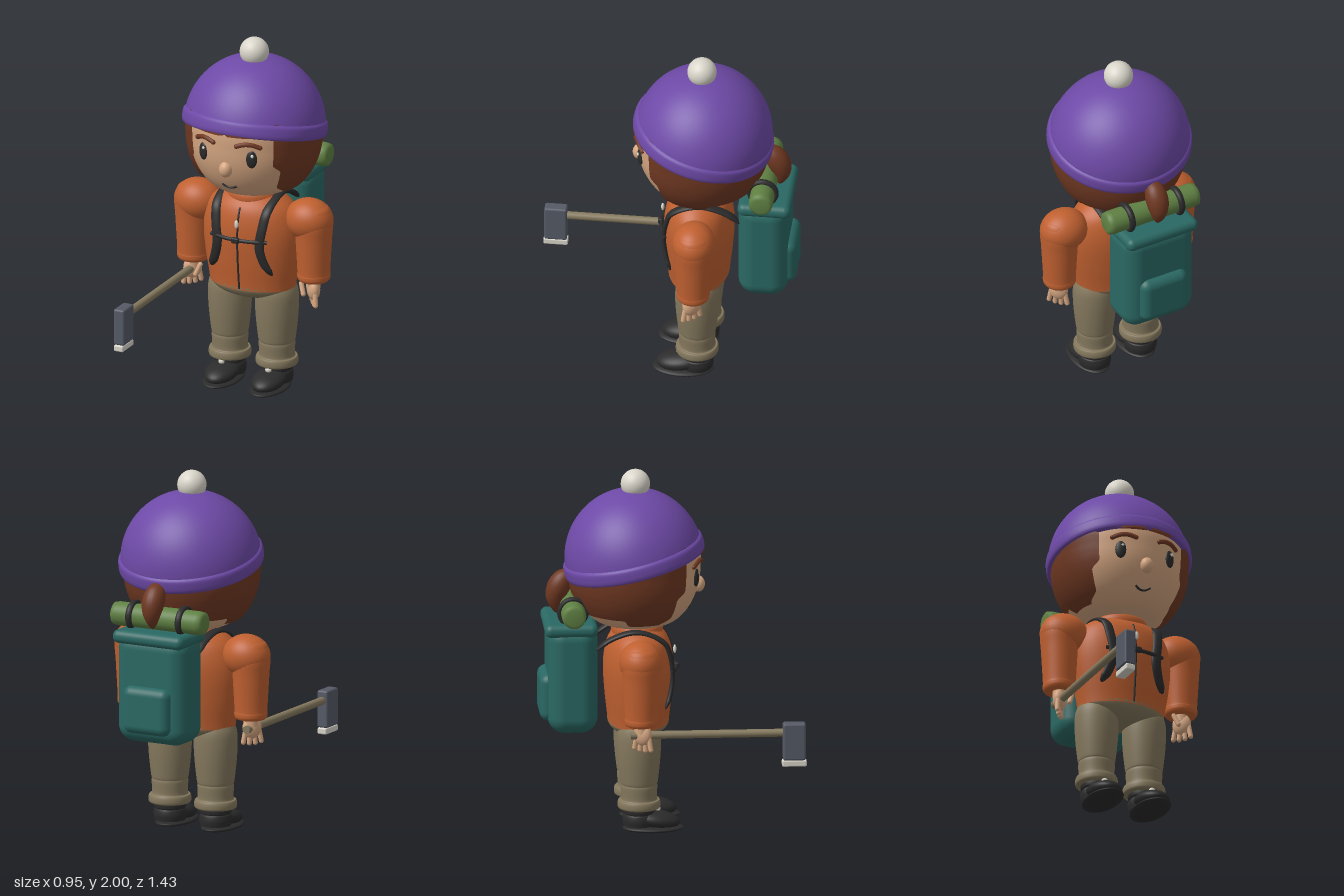
import * as THREE from 'three';
import { RoundedBoxGeometry } from 'three/addons/geometries/RoundedBoxGeometry.js';
import { ParametricGeometry } from 'three/addons/geometries/ParametricGeometry.js';

const mat = (name, color, side = THREE.FrontSide) => {
  const m = new THREE.MeshStandardMaterial({ color, side });
  m.name = name;
  return m;
};
const V = (x, y, z) => new THREE.Vector3(x, y, z);

// smooth lathe profile from [radius, height] pairs
const profile = (pairs, n = 48) =>
  new THREE.SplineCurve(pairs.map(([r, y]) => new THREE.Vector2(r, y))).getPoints(n)
    .map((p) => p.set(Math.max(p.x, 0), p.y));
const lathe = (pts, seg = 48) => new THREE.LatheGeometry(pts, seg);

// radius of a profile at a given height
const radiusAt = (pts, y) => {
  for (let i = 1; i < pts.length; i++) {
    const a = pts[i - 1], b = pts[i];
    if (y <= b.y) return a.x + (b.x - a.x) * THREE.MathUtils.clamp((y - a.y) / (b.y - a.y || 1), 0, 1);
  }
  return pts[pts.length - 1].x;
};

// sweep an ellipse (wide along x) along a smooth path, radii given along the path
function sweep(points, wide, thick, slices = 16, stacks = 40) {
  const curve = new THREE.CatmullRomCurve3(points);
  return new ParametricGeometry((u, v, out) => {
    const a = u * Math.PI * 2, t = curve.getTangent(v), x = V(1, 0, 0);
    const b = t.clone().cross(x).normalize();
    out.copy(curve.getPoint(v))
      .addScaledVector(x, Math.cos(a) * wide(v))
      .addScaledVector(b, Math.sin(a) * thick(v));
  }, slices, stacks);
}
const roundEnds = (r) => (v) => r * Math.min(1, 0.1 + Math.sqrt(Math.sin(Math.PI * Math.min(1, Math.max(0, v))) * 3));

const HEAD_Z = -0.19, BODY_Z = -0.175, DEPTH = 0.67;
const headPts = profile([[0, 1.127], [0.1, 1.13], [0.2, 1.155], [0.262, 1.2], [0.31, 1.27], [0.343, 1.36],
  [0.355, 1.46], [0.35, 1.58], [0.28, 1.72], [0, 1.83]], 64);
const torsoPts = profile([[0.248, 0.59], [0.255, 0.64], [0.273, 0.75], [0.285, 0.88], [0.275, 0.98],
  [0.24, 1.06], [0.17, 1.115], [0.1, 1.135]]);
const faceZ = (x, y) => HEAD_Z + Math.sqrt(Math.max(0, radiusAt(headPts, y) ** 2 - x * x));
const chestZ = (x, y) => BODY_Z + DEPTH * Math.sqrt(Math.max(0, radiusAt(torsoPts, y) ** 2 - x * x));

export function createModel() {
  const purple = mat('hat purple', 0x6d49a6), cream = mat('cream', 0xd9d5ca);
  const orange = mat('jacket orange', 0xbf6030), brown = mat('hair brown', 0x6f3822, THREE.DoubleSide);
  const skin = mat('skin', 0xd5a681), khaki = mat('khaki', 0x85795e), teal = mat('pack teal', 0x2a6863);
  const green = mat('bedroll green', 0x5f8043), dark = mat('dark', 0x2b2b2c), slate = mat('slate', 0x555a66);

  const model = new THREE.Group();
  model.name = 'hiker';
  const part = (name, parent = model) => {
    const g = new THREE.Group();
    g.name = name;
    parent.add(g);
    return g;
  };
  const add = (parent, name, geo, material, pos = [0, 0, 0], rot = [0, 0, 0], scale = [1, 1, 1]) => {
    const m = new THREE.Mesh(geo, material);
    m.name = name;
    m.position.set(...pos);
    m.rotation.set(...rot);
    m.scale.set(...scale);
    parent.add(m);
    return m;
  };
  const ball = new THREE.SphereGeometry(1, 32, 20);

  // head and face
  const head = part('head');
  add(head, 'skull', lathe(headPts), skin, [0, 0, HEAD_Z]);
  add(head, 'nose', ball, skin, [0, 1.35, 0.152], [0, 0, 0], [0.037, 0.045, 0.037]);
  const smile = [-0.045, -0.022, 0, 0.022, 0.045].map((x) => {
    const y = 1.225 + x * x * 9;
    return V(x, y, faceZ(x, y) + 0.002);
  });
  add(head, 'mouth', new THREE.TubeGeometry(new THREE.CatmullRomCurve3(smile), 16, 0.006, 8), dark);
  for (const s of [-1, 1]) {
    const ex = 0.147 * s, ez = faceZ(0.147, 1.425);
    add(head, 'eye', ball, dark, [ex, 1.425, ez], [0, 0.42 * s, 0], [0.03, 0.05, 0.014]);
    add(head, 'eyeGlint', ball, cream, [ex + 0.008, 1.448, ez + 0.011], [0, 0, 0], [0.01, 0.01, 0.006]);
    const brow = [[0.07, 1.5], [0.11, 1.512], [0.15, 1.511], [0.19, 1.495]]
      .map(([x, y]) => V(x * s, y, faceZ(x, y) + 0.003));
    add(head, 'eyebrow', new THREE.TubeGeometry(new THREE.CatmullRomCurve3(brow), 16, 0.013, 8), brown);
    for (const e of [brow[0], brow[3]]) add(head, 'browEnd', ball, brown, e.toArray(), [0, 0, 0], [0.013, 0.013, 0.013]);
  }

  // hair shell with side locks, open at the face and nape
  const step = THREE.MathUtils.smoothstep;
  const hair = new ParametricGeometry((u, v, out) => {
    const fold = 0.78 + (Math.PI - 0.78) * (1 - Math.abs(2 * u - 1));
    const low = 1.175 + 0.04 * step(fold, 1.5, 1.8);
    const y = low + (1.62 - low) * v;
    const edge = y > 1.545 ? 0 : 0.76 + 0.14 * (1 - step(y, 1.33, 1.38)) + 0.25 * (1 - step(y, 1.17, 1.23));
    const a = edge + (Math.PI * 2 - 2 * edge) * u;
    const r = radiusAt(headPts, y) + (v < 0.01 || u < 0.005 || u > 0.995 ? -0.004 : 0.02);
    out.set(Math.sin(a) * r, y, Math.cos(a) * r);
  }, 96, 40);
  add(head, 'hair', hair, brown, [0, 0, HEAD_Z]);
  const tail = [V(0, 1.43, -0.53), V(0, 1.38, -0.59), V(0, 1.3, -0.625), V(0, 1.2, -0.615)];
  const tailR = (v) => 0.004 + 0.058 * Math.pow(Math.sin(Math.PI * (0.08 + 0.92 * v)), 0.7);
  add(head, 'ponytail', sweep(tail, tailR, tailR, 24), brown);
  add(head, 'hairTie', new THREE.TorusGeometry(0.034, 0.015, 10, 24), purple, [0, 1.42, -0.55], [0.75, 0, 0]);

  // knitted hat, tipped back
  const hat = part('hat');
  hat.position.set(0, 1.475, HEAD_Z);
  hat.rotation.x = -0.23;
  hat.scale.z = 0.975;
  const dome = Array.from({ length: 25 }, (_, i) => {
    const a = (i / 24) * Math.PI / 2;
    return new THREE.Vector2(0.388 * Math.cos(a), 0.03 + 0.385 * Math.sin(a));
  });
  add(hat, 'hatDome', lathe(dome, 64), purple);
  const brim = [[0.34, 0.004], [0.385, -0.002], [0.398, 0.012], [0.4, 0.04], [0.396, 0.07], [0.38, 0.085]];
  add(hat, 'hatBrim', lathe(profile(brim, 24), 64), purple);
  add(model, 'pompom', ball, cream, [0, 1.92, HEAD_Z], [0, 0, 0], [0.08, 0.08, 0.08]);

  // jacket
  const jacket = part('jacket');
  add(jacket, 'torso', lathe(torsoPts), orange, [0, 0, BODY_Z], [0, 0, 0], [1, 1, DEPTH]);
  const collar = [[0.1, 1.08], [0.14, 1.08], [0.15, 1.105], [0.143, 1.135], [0.12, 1.145], [0.09, 1.12]];
  add(jacket, 'collar', lathe(profile(collar, 24)), orange, [0, 0, -0.18], [0, 0, 0], [1, 1, 0.93]);
  const zip = Array.from({ length: 10 }, (_, i) => V(0, 0.6 + i * 0.052, chestZ(0, 0.6 + i * 0.052)));
  add(jacket, 'zipper', sweep(zip, () => 0.006, () => 0.005, 8), dark);
  add(jacket, 'zipperPull', ball, cream, [0, 0.985, chestZ(0, 0.985) + 0.016], [0, 0, 0], [0.012, 0.024, 0.009]);

  // arms and hands
  const sleeve = lathe(profile([[0, 0.657], [0.07, 0.655], [0.088, 0.668], [0.091, 0.69], [0.09, 0.72],
    [0.1, 0.9], [0.105, 1.0], [0.08, 1.08], [0, 1.11]], 56), 36);
  const finger = new THREE.CapsuleGeometry(0.0135, 0.06, 6, 12);
  for (const s of [-1, 1]) {
    const arm = part(s > 0 ? 'leftArm' : 'rightArm');
    add(arm, 'sleeve', sleeve, orange, [0.366 * s, 0, -0.183]);
    add(arm, 'shoulder', ball, orange, [0.338 * s, 1.005, -0.183], [0, 0, 0], [0.136, 0.118, 0.118]);
    add(arm, 'wrist', new THREE.CylinderGeometry(0.04, 0.04, 0.06, 20), skin, [0.366 * s, 0.645, -0.178]);
    add(arm, 'palm', ball, skin, [0.368 * s, 0.605, -0.175], [0, 0.7 * s, 0], [0.036, 0.062, 0.054]);
    for (let i = 0; i < 4; i++) {
      const k = i - 1.5;
      add(arm, 'finger', finger, skin, [(0.37 + k * 0.019) * s, 0.547 + Math.abs(k) * 0.006, -0.175 + k * 0.025], [-k * 0.1, 0, k * 0.08 * s]);
    }
    add(arm, 'thumb', finger, skin, [0.318 * s, 0.61, -0.14], [-0.3, 0, 0.35 * s]);
  }

  // trousers
  const trousers = part('trousers');
  add(trousers, 'hips', ball, khaki, [0, 0.603, BODY_Z], [0, 0, 0], [0.249, 0.09, 0.168]);
  const legPts = [[0.09, 0.63], [0.115, 0.57], [0.12, 0.5], [0.115, 0.4], [0.103, 0.29], [0.098, 0.272],
    [0.1, 0.255], [0.098, 0.19], [0.112, 0.182], [0.117, 0.16], [0.112, 0.138], [0.085, 0.132]].reverse();
  const leg = lathe(profile(legPts, 72), 40);
  // boots
  const shaft = lathe(profile([[0.085, 0.04], [0.09, 0.07], [0.086, 0.098], [0.08, 0.105], [0.087, 0.112],
    [0.086, 0.14], [0.06, 0.15]], 40), 32);
  for (const s of [-1, 1]) {
    add(trousers, s > 0 ? 'leftLeg' : 'rightLeg', leg, khaki, [0.143 * s, 0, -0.18]);
    const boot = part(s > 0 ? 'leftBoot' : 'rightBoot');
    boot.position.x = 0.143 * s;
    add(boot, 'bootShaft', shaft, dark, [0, 0, -0.18]);
    add(boot, 'bootToe', ball, dark, [0, 0.07, -0.09], [0.15, 0, 0], [0.09, 0.05, 0.135]);
    add(boot, 'bootSole', ball, dark, [0, 0.022, -0.102], [0, 0, 0], [0.098, 0.022, 0.168]);
    add(boot, 'laceKnot', ball, cream, [0, 0.127, -0.077], [0, 0, 0], [0.018, 0.016, 0.014]);
  }

  // backpack
  const pack = part('backpack');
  add(pack, 'packBody', new RoundedBoxGeometry(0.43, 0.61, 0.27, 8, 0.09), teal, [0, 0.865, -0.54]);
  add(pack, 'packLid', new RoundedBoxGeometry(0.44, 0.075, 0.29, 6, 0.036), teal, [0, 1.147, -0.55]);
  add(pack, 'packPocket', new RoundedBoxGeometry(0.29, 0.265, 0.11, 8, 0.05), teal, [0, 0.753, -0.663]);
  const roll = [[0, -0.285], [0.045, -0.285], [0.062, -0.275], [0.066, -0.25], [0.066, 0], [0.066, 0.25],
    [0.062, 0.275], [0.045, 0.285], [0, 0.285]].map(([r, y]) => new THREE.Vector2(r, y));
  add(pack, 'bedroll', lathe(roll, 32), green, [0, 1.243, -0.54], [0, 0, Math.PI / 2]);
  for (const s of [-1, 1]) {
    add(pack, 'bedrollStrap', new THREE.TorusGeometry(0.074, 0.013, 10, 32), dark, [0.155 * s, 1.243, -0.54],
      [0, Math.PI / 2, 0], [1, 1, 1.4]);
    const front = [[0.152, 1.06], [0.142, 0.98], [0.128, 0.86], [0.15, 0.765], [0.182, 0.695]]
      .map(([x, y]) => V(x * s, y, chestZ(x, y) + 0.008));
    const path = [V(0.15 * s, 1.02, -0.42), V(0.15 * s, 1.085, -0.33), V(0.155 * s, 1.122, -0.19), ...front];
    add(pack, 'shoulderStrap', sweep(path, roundEnds(0.028), roundEnds(0.014), 16, 64), dark);
  }
  const chest = [-0.17, -0.085, 0, 0.085, 0.17].map((x) => V(x, 0.895, chestZ(x, 0.895) + 0.014));
  add(pack, 'chestStrap', new THREE.TubeGeometry(new THREE.CatmullRomCurve3(chest), 24, 0.011, 8), dark);
  add(pack, 'chestBuckle', new RoundedBoxGeometry(0.045, 0.032, 0.026, 3, 0.008), dark, [0, 0.895, 0.036]);

  // hammer held forward in the right hand
  const hammer = part('hammer');
  hammer.position.x = -0.368;
  add(hammer, 'hammerHandle', new THREE.CylinderGeometry(0.022, 0.022, 0.85, 16), khaki, [0, 0.603, 0.185], [Math.PI / 2, 0, 0]);
  add(hammer, 'hammerHead', new RoundedBoxGeometry(0.066, 0.207, 0.124, 3, 0.012), slate, [0, 0.555, 0.65]);
  add(hammer, 'hammerFace', new RoundedBoxGeometry(0.056, 0.036, 0.134, 3, 0.008), cream, [0, 0.434, 0.65]);
  return model;
}
